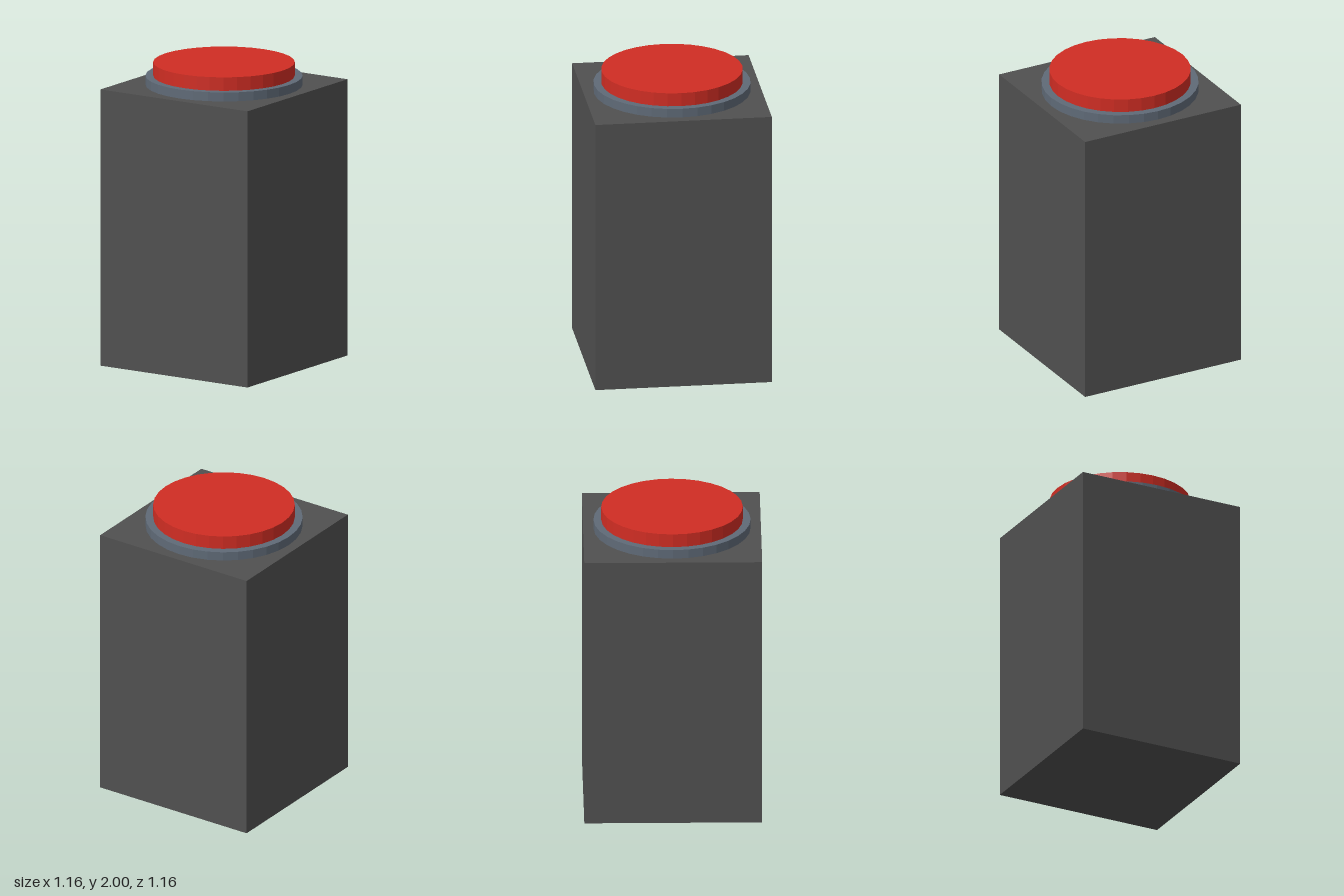
import * as THREE from 'three';

export function createModel() {
  const model = new THREE.Group();
  model.name = 'pedestalButton';

  const mat = (name, color) => {
    const m = new THREE.MeshStandardMaterial({ color, flatShading: true });
    m.name = name;
    return m;
  };
  const add = (name, geometry, material, y) => {
    const mesh = new THREE.Mesh(geometry, material);
    mesh.name = name;
    mesh.position.y = y;
    model.add(mesh);
  };
  // Faceted disc standing on y = 0
  const disc = (radius, height) =>
    new THREE.CylinderGeometry(radius, radius, height, 32).translate(0, height / 2, 0);

  const bodyHeight = 1.85;

  // Square pedestal
  add('pedestal', new THREE.BoxGeometry(1.163, bodyHeight, 1.163).translate(0, bodyHeight / 2, 0),
    mat('dark grey', 0x505050), 0);

  // Collar around the button
  add('collar', disc(0.514, 0.06), mat('slate grey', 0x5f6a77), bodyHeight);

  // Push button rising out of the collar
  add('button', disc(0.463, 0.09), mat('red', 0xd02d23), bodyHeight + 0.06);

  return model;
}
